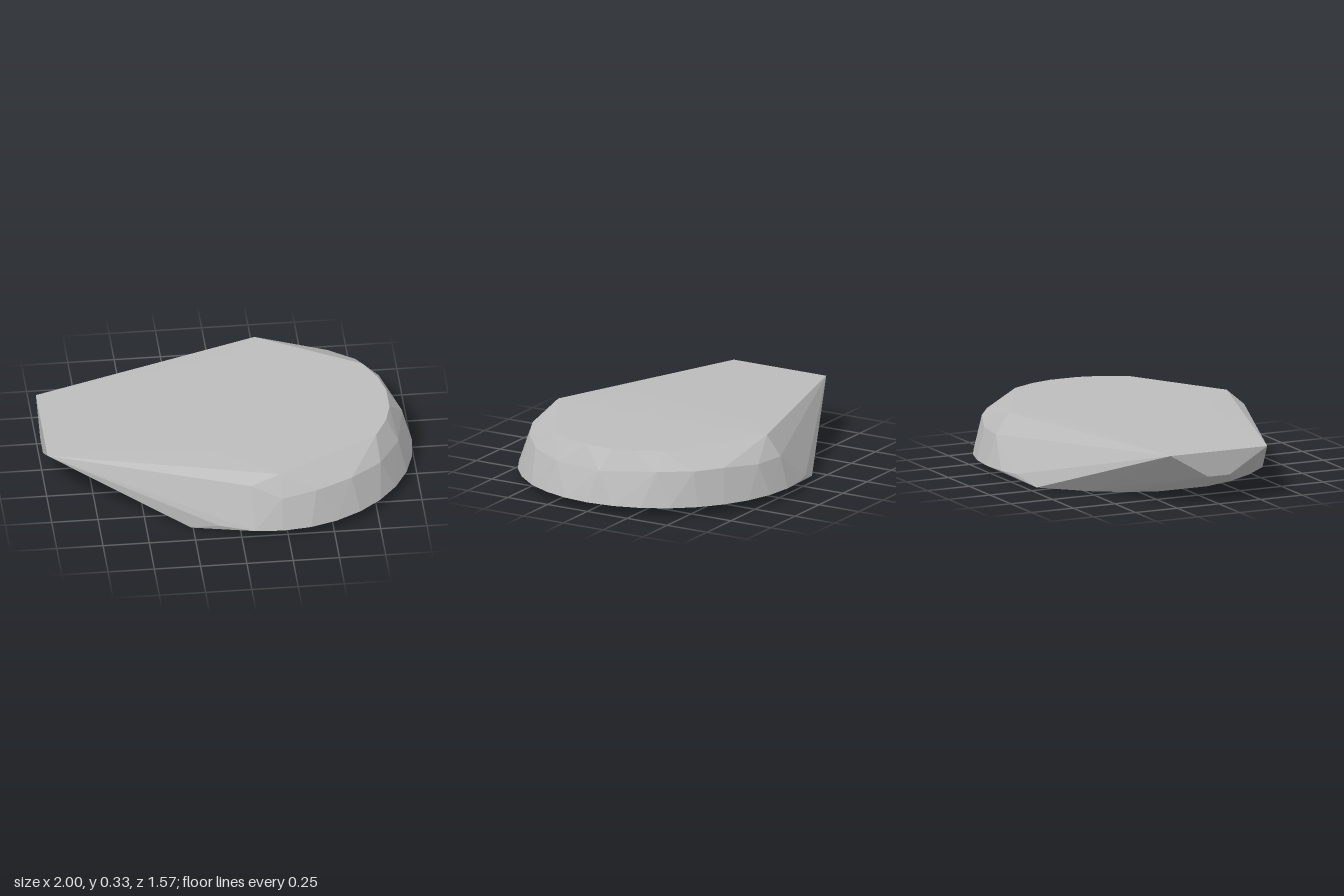
import * as THREE from 'three';
import { ConvexGeometry } from 'three/addons/geometries/ConvexGeometry.js';

export function createModel() {
  const group = new THREE.Group();
  const stone = new THREE.MeshStandardMaterial({ color: 0xbcbcbc });
  stone.name = 'stoneGrey';
  const points = [];
  const add = (x, y, z) => points.push(new THREE.Vector3(x, y, z));
  const mirrored = (x, y, z) => { add(x, y, z); add(x, y, -z); };

  // Round lower rim, raised at the blunt end
  const rimCentre = 0.205, rimRadius = 0.785;
  for (let i = -9; i <= 9; i++) {
    const a = i * Math.PI / 16.2;
    add(rimCentre + (rimRadius + 0.01 * Math.cos(a)) * Math.cos(a), 0.05, rimRadius * Math.sin(a));
  }
  add(-0.12, 0.05, 0.7);
  add(-0.04, 0.05, -0.74);

  // Underside edge resting on the ground, towards the tail
  add(-0.26, 0, 0.63);
  add(-0.19, 0, -0.69);
  mirrored(-0.4, 0, 0.48);
  mirrored(-0.51, 0, 0.31);
  mirrored(-0.57, 0, 0.14);

  // Shoulder between the rim and the flat top
  add(0.06, 0.28, 0.68);
  add(0.22, 0.22, 0.73);
  add(0.41, 0.24, 0.7);
  add(0.61, 0.24, 0.6);
  add(0.78, 0.23, 0.46);
  add(0.9, 0.22, 0.25);
  add(0.95, 0.22, -0.04);
  add(0.86, 0.24, -0.35);
  add(0.75, 0.24, -0.52);
  add(0.61, 0.24, -0.62);
  add(0.4, 0.22, -0.71);
  add(0.21, 0.22, -0.735);

  // Flat top
  mirrored(0.22, 0.33, 0.655);
  mirrored(0.77, 0.33, 0.34);
  mirrored(0.84, 0.33, 0.2);
  mirrored(0.87, 0.33, 0.08);
  add(-0.1, 0.327, 0.4);
  add(0.06, 0.329, -0.5);

  // Narrow tail face
  mirrored(-1, 0.29, 0.29);
  mirrored(-1, 0.155, 0.065);

  const body = new THREE.Mesh(new ConvexGeometry(points), stone);
  body.name = 'facetedStoneBody';
  group.add(body);
  return group;
}
